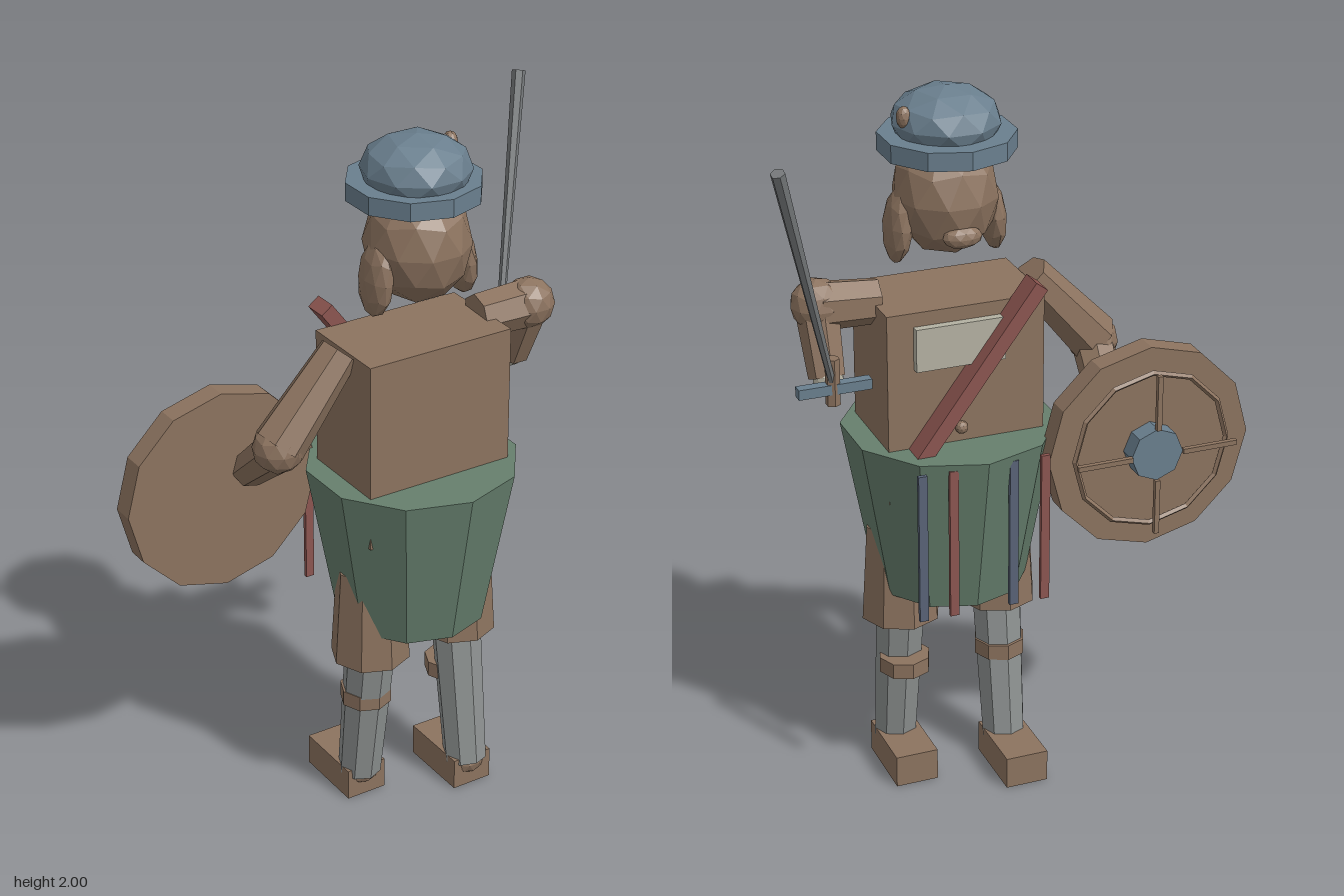
import * as THREE from 'three';

export function createModel() {
  const model = new THREE.Group();
  const mat = (name, color) => {
    const m = new THREE.MeshStandardMaterial({ color, flatShading: true });
    m.name = name;
    return m;
  };
  const leather = mat('brown leather', 0x8c735f);
  const green = mat('kilt green', 0x667f6d);
  const blue = mat('slate blue', 0x6a7f8e);
  const steel = mat('greave grey', 0x8e9291);
  const darkSteel = mat('blade grey', 0x75787a);
  const red = mat('sash red', 0x8c5550);
  const pale = mat('pale cloth', 0xb4b1a2);
  const indigo = mat('ribbon blue', 0x596377);

  const add = (name, geo, material, x = 0, y = 0, z = 0) => {
    const m = new THREE.Mesh(geo, material);
    m.name = name;
    m.position.set(x, y, z);
    model.add(m);
    return m;
  };
  const box = (name, material, w, h, d, x, y, z) =>
    add(name, new THREE.BoxGeometry(w, h, d), material, x, y, z);
  const drum = (name, material, rTop, rBottom, h, sides, x, y, z) =>
    add(name, new THREE.CylinderGeometry(rTop, rBottom, h, sides), material, x, y, z);
  // faceted ellipsoid with a vertex at each pole
  const blob = (name, material, rx, ry, rz, x, y, z, detail = 1) => {
    const g = new THREE.IcosahedronGeometry(1, detail);
    g.rotateX(-Math.atan((1 + Math.sqrt(5)) / 2)).scale(rx, ry, rz);
    return add(name, g, material, x, y, z);
  };
  // tapered limb between two points
  const limb = (name, material, a, b, ra, rb, sides = 7) => {
    const p = new THREE.Vector3(...a), q = new THREE.Vector3(...b);
    const dir = q.clone().sub(p);
    const m = drum(name, material, rb, ra, dir.length(), sides, 0, 0, 0);
    m.position.copy(p).add(q).multiplyScalar(0.5);
    m.quaternion.setFromUnitVectors(new THREE.Vector3(0, 1, 0), dir.normalize());
    return m;
  };
  const cx = 0.093;

  // body
  box('torso', leather, 0.44, 0.54, 0.27, cx, 1.174, 0.03);
  drum('kilt', green, 0.295, 0.209, 0.465, 10, cx, 0.826, 0.026);
  box('chestPlate', pale, 0.25, 0.12, 0.025, 0.115, 1.345, -0.115);
  for (const y of [1.21, 1.1]) blob('button', leather, 0.018, 0.018, 0.018, 0.11, y, -0.112);
  const sash = box('sash', red, 0.595, 0.04, 0.07, 0.085, 1.255, -0.137);
  sash.rotation.z = -0.93;

  // hanging ribbons
  [[0.267, indigo], [0.18, red], [0.01, indigo], [-0.08, red]].forEach(([x, m]) =>
    box('ribbon', m, 0.025, 0.43, 0.012, x, 0.825, -0.234));

  // head
  blob('head', leather, 0.143, 0.165, 0.149, cx, 1.705, 0.045);
  blob('nose', leather, 0.055, 0.03, 0.03, cx, 1.625, -0.08);
  for (const s of [-1, 1]) {
    const ear = blob('ear', leather, 0.036, 0.105, 0.068, cx + s * 0.13, 1.63, 0.05);
    ear.rotation.z = s * 0.1;
  }

  // cap
  drum('capBrim', blue, 0.183, 0.183, 0.05, 10, cx, 1.855, 0.028);
  blob('capCrown', blue, 0.147, 0.092, 0.15, cx, 1.908, 0.037);
  blob('capButton', leather, 0.02, 0.03, 0.022, 0.22, 1.938, 0.003);

  // legs, one stepping ahead of the other
  for (const s of [-1, 1]) {
    const x = cx + s * 0.142;
    const step = s * 0.06;
    drum('thigh', leather, 0.095, 0.112, 0.28, 8, x, 0.63, 0.04);
    limb('shin', steel, [x, 0.07, 0.04 + step], [x, 0.52, 0.04], 0.062, 0.072, 8);
    drum('kneeStrap', leather, 0.073, 0.073, 0.045, 8, x, 0.347, 0.015);
    blob('ankle', leather, 0.055, 0.045, 0.055, x, 0.068, 0.04 + step);
    box('foot', leather, 0.122, 0.093, 0.217, x, 0.0465, -0.031 + step);
  }

  // sword arm
  limb('swordUpperArm', leather, [0.29, 1.435, 0.035], [0.45, 1.44, 0.045], 0.062, 0.068);
  blob('swordElbow', leather, 0.072, 0.072, 0.072, 0.45, 1.442, 0.05);
  limb('swordForearm', leather, [0.45, 1.44, 0.05], [0.45, 1.265, -0.022], 0.06, 0.05);
  blob('swordHand', pale, 0.042, 0.042, 0.042, 0.45, 1.262, -0.03);

  // sword
  drum('swordGrip', leather, 0.02, 0.02, 0.13, 6, 0.46, 1.285, -0.096);
  box('swordGuard', blue, 0.2, 0.028, 0.03, 0.457, 1.267, -0.097);
  limb('swordBlade', darkSteel, [0.462, 1.28, -0.1], [0.652, 1.95, -0.305], 0.01, 0.019, 6);

  // shield arm
  limb('shieldUpperArm', leather, [-0.14, 1.445, 0.035], [-0.335, 1.225, 0.045], 0.056, 0.073);
  blob('shieldElbow', leather, 0.07, 0.07, 0.07, -0.335, 1.22, 0.045);
  limb('shieldForearm', leather, [-0.335, 1.21, 0.04], [-0.305, 1.05, -0.165], 0.06, 0.05);

  // round shield facing back
  const sx = -0.383, sy = 1.008;
  drum('shieldDisc', leather, 0.291, 0.291, 0.065, 12, sx, sy, -0.198).rotation.x = Math.PI / 2;
  add('shieldRing', new THREE.TorusGeometry(0.222, 0.008, 4, 12), leather, sx, sy, -0.244);
  drum('shieldBoss', blue, 0.075, 0.075, 0.055, 8, sx, sy, -0.257).rotation.x = Math.PI / 2;
  for (let i = 0; i < 4; i++) {
    const a = i * Math.PI / 2;
    const spoke = box('shieldSpoke', leather, 0.158, 0.014, 0.014,
      sx + Math.cos(a) * 0.153, sy + Math.sin(a) * 0.153, -0.287);
    spoke.rotation.z = a;
  }
  return model;
}
